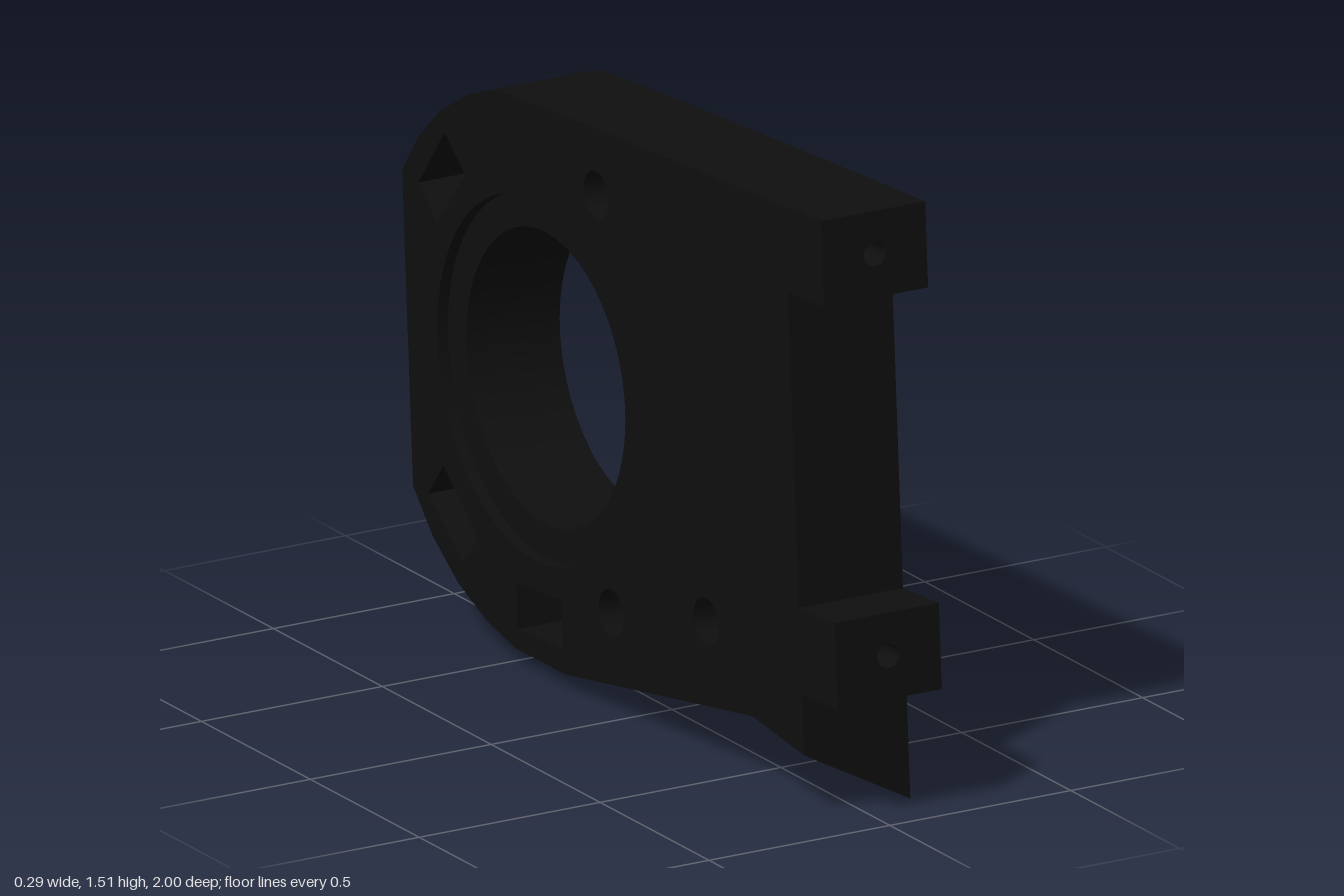
import * as THREE from 'three';
import { mergeGeometries, toCreasedNormals } from 'three/addons/utils/BufferGeometryUtils.js';

const HALF = 0.144; // half thickness of the plate
const TILT = 0.064; // lean of the whole bracket

// Points are given as [z, y]; contours run in the plane (u = -z, y)
const contour = (pts, clockwise) => {
  const c = pts.map(([z, y]) => new THREE.Vector2(-z, y));
  return THREE.ShapeUtils.isClockWise(c) === clockwise ? c : c.reverse();
};
const circle = (z, y, r) => contour(Array.from({ length: 48 }, (_, i) => {
  const a = (i / 48) * Math.PI * 2;
  return [z + r * Math.cos(a), y + r * Math.sin(a)];
}), true);

// Wall between two matching contours at x0 < x1
function wall(c0, x0, c1, x1) {
  const p = [];
  c0.forEach((a, i) => {
    const j = (i + 1) % c0.length, b = c0[j], c = c1[j], d = c1[i];
    const A = [x0, a.y, -a.x], B = [x0, b.y, -b.x], C = [x1, c.y, -c.x], D = [x1, d.y, -d.x];
    p.push(...A, ...B, ...C, ...A, ...C, ...D);
  });
  return new THREE.BufferGeometry().setAttribute('position', new THREE.Float32BufferAttribute(p, 3));
}

// Flat face at x, facing +x or -x
function cap(outline, holes, x, facing) {
  const shape = new THREE.Shape(outline);
  holes.forEach((h) => shape.holes.push(new THREE.Path(h)));
  const g = new THREE.ShapeGeometry(shape);
  if (facing < 0) {
    const idx = g.index.array;
    for (let i = 0; i < idx.length; i += 3) [idx[i], idx[i + 1]] = [idx[i + 1], idx[i]];
  }
  g.rotateY(Math.PI / 2).translate(x, 0, 0);
  const flat = g.toNonIndexed();
  flat.deleteAttribute('uv');
  flat.deleteAttribute('normal');
  return flat;
}

export function createModel() {
  const model = new THREE.Group();
  model.name = 'bearingBracket';
  const black = new THREE.MeshStandardMaterial({ color: 0x0f0f0f });
  black.name = 'black';

  // Side outline; the lower edge rises towards the right-hand (-x) face
  const outline = (bottom) => contour([
    [0.757, 1.503], [-0.2, 1.44], [-0.57, 1.41], [-0.7, 1.36], [-0.83, 1.28], [-0.925, 1.19], [-1, 1.085],
    [-0.95, 0.31], [-0.86, 0.21], [-0.74, 0.125], [-0.61, 0.07], [-0.48, 0.04],
    ...bottom,
  ], false);
  const leftOutline = outline([[-0.25, 0], [0.43, 0.05], [0.855, 0]]);
  const rightOutline = outline([[-0.25, 0.04], [0.61, 0.185], [0.845, 0.155]]);
  const parts = [wall(rightOutline, -HALF, leftOutline, HALF)];
  const leftHoles = [], rightHoles = [];

  // Rectangular windows straight through
  [
    [[-0.71, 1.155], [-0.805, 1.235], [-0.925, 1.075], [-0.84, 1.0]],
    [[-0.65, 0.265], [-0.81, 0.4], [-0.88, 0.31], [-0.72, 0.185]],
    [[-0.27, 0.22], [-0.475, 0.205], [-0.47, 0.09], [-0.26, 0.1]],
  ].forEach((pts) => {
    const h = contour(pts, true);
    leftHoles.push(h);
    rightHoles.push(h);
    parts.push(wall(h, -HALF, h, HALF));
  });

  // Main bore and bolt holes, counterbored on the -x face: z, y, radius, wide radius, depth
  [
    [-0.39, 0.735, 0.365, 0.45, 0.03],
    [-0.11, 1.28, 0.03, 0.058, 0.1],
    [0.395, 0.36, 0.03, 0.058, 0.1],
    [-0.04, 0.255, 0.03, 0.058, 0.1],
  ].forEach(([z, y, r, wide, depth]) => {
    const narrowC = circle(z, y, r), wideC = circle(z, y, wide), step = -HALF + depth;
    leftHoles.push(narrowC);
    rightHoles.push(wideC);
    parts.push(wall(wideC, -HALF, wideC, step), wall(narrowC, step, narrowC, HALF));
    parts.push(cap(wideC, [narrowC], step, -1));
  });

  // Small blind holes near the back edge of the +x face
  [[-0.87, 0.91], [-0.86, 0.43]].forEach(([z, y]) => {
    const h = circle(z, y, 0.02);
    leftHoles.push(h);
    parts.push(wall(h, HALF - 0.06, h, HALF), cap(h, [], HALF - 0.06, 1));
  });

  parts.push(cap(leftOutline, leftHoles, HALF, 1), cap(rightOutline, rightHoles, -HALF, -1));
  const body = new THREE.Mesh(toCreasedNormals(mergeGeometries(parts), 0.15), black);
  body.name = 'plateBody';
  model.add(body);

  // Front mounting lugs, each with a bolt hole in its end
  const lug = new THREE.Shape([[-HALF, 0], [HALF, 0], [HALF, 0.212], [-HALF, 0.212]].map((p) => new THREE.Vector2(...p)));
  lug.holes.push(new THREE.Path().absarc(0, 0.106, 0.03, 0, Math.PI * 2, true));
  const lugGeometry = new THREE.ExtrudeGeometry(lug, { depth: 0.167, bevelEnabled: false, curveSegments: 24 });
  [['upperLug', 1.291, 0.77], ['lowerLug', 0.305, 0.833]].forEach(([name, y, z]) => {
    const mesh = new THREE.Mesh(lugGeometry, black);
    mesh.name = name;
    mesh.position.set(0, y, z);
    mesh.rotation.x = -TILT;
    model.add(mesh);
  });
  return model;
}
